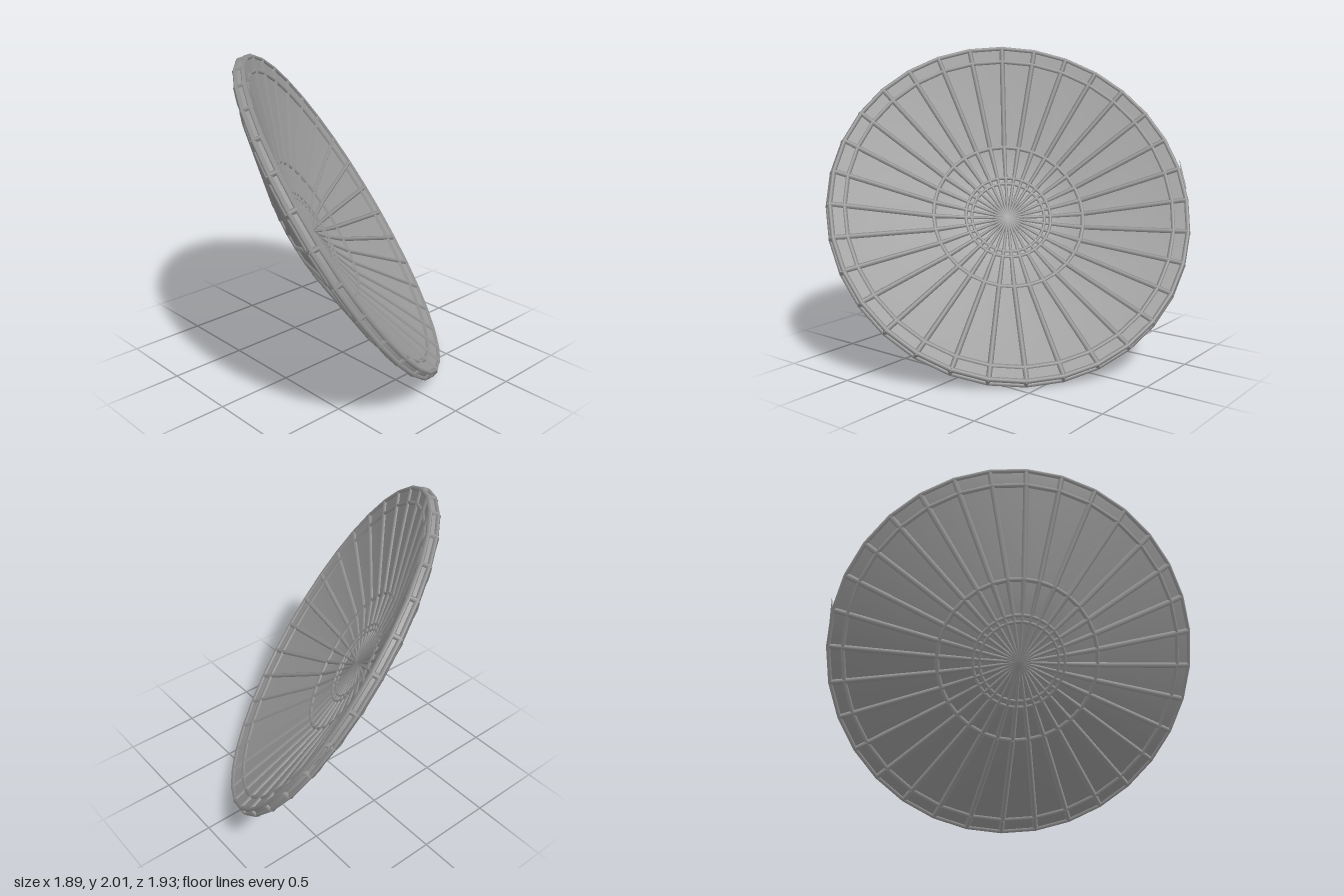
import * as THREE from 'three';
import { mergeGeometries } from 'three/addons/utils/BufferGeometryUtils.js';

const SIDES = 32;
const STEP = (Math.PI * 2) / SIDES;
const PHASE = -0.07 * STEP;

// Profiles from centre to lip: [radius, height along the dish axis, rib half-width]
const FRONT = [
  [0, -0.24, 0.009],
  [0.245, -0.229, 0.011],
  [0.285, -0.223, 0.012],
  [0.5, -0.189, 0.017],
  [1.065, 0, 0.018],
  [1.153, 0.03, 0.017],
];
const BACK = [
  [0, -0.308, 0.009],
  [0.245, -0.29, 0.011],
  [0.285, -0.284, 0.012],
  [0.5, -0.245, 0.017],
  [1.075, -0.054, 0.018],
  [1.166, -0.015, 0.017],
];
const LIP = [BACK[5], FRONT[5]];

// Diamond-section rib between two points, with one ridge facing the given way
function rib(a, b, ra, rb, facing) {
  const dir = b.clone().sub(a);
  const g = new THREE.CylinderGeometry(rb, ra, dir.length(), 4, 1);
  dir.normalize();
  const out = facing.clone().addScaledVector(dir, -facing.dot(dir)).normalize();
  const side = dir.clone().cross(out);
  g.applyMatrix4(new THREE.Matrix4().makeBasis(side, dir, out));
  const mid = a.clone().add(b).multiplyScalar(0.5);
  return g.translate(mid.x, mid.y, mid.z);
}

// Thin shell swept around the axis
function shell(profile) {
  const points = profile.map(([r, h]) => new THREE.Vector2(r, h));
  return new THREE.LatheGeometry(points, SIDES, PHASE);
}

// Hoops at every step of a profile except the centre
function hoops(profile) {
  return mergeGeometries(profile.slice(1).map(([r, h, w]) =>
    new THREE.TorusGeometry(r, Math.min(w, 0.015), 4, SIDES)
      .rotateX(Math.PI / 2).rotateY(PHASE).translate(0, h, 0)));
}

// Ribs that follow a profile, repeated around the axis
function radialRibs(profile) {
  const ribs = [];
  for (let s = 0; s < SIDES; s++) {
    const a = s * STEP + PHASE;
    const at = ([r, h]) => new THREE.Vector3(r * Math.sin(a), h, r * Math.cos(a));
    const facing = new THREE.Vector3(Math.sin(a) * 0.1, 1, Math.cos(a) * 0.1);
    for (let i = 0; i + 1 < profile.length; i++) {
      const [p, q] = [profile[i], profile[i + 1]];
      ribs.push(rib(at(p), at(q), p[2], q[2], facing));
    }
  }
  return mergeGeometries(ribs);
}

export function createModel() {
  const metal = new THREE.MeshStandardMaterial({ color: 0x999999, side: THREE.DoubleSide });
  metal.name = 'grey metal';

  const dish = new THREE.Group();
  dish.name = 'dish';
  const add = (parent, name, geometry) => {
    const mesh = new THREE.Mesh(geometry, metal);
    mesh.name = name;
    parent.add(mesh);
  };

  // Double-walled bowl closed by a narrow lip
  add(dish, 'frontShell', shell([...FRONT].reverse()));
  add(dish, 'backShell', shell(BACK));
  add(dish, 'lipWall', shell(LIP));

  // Rib lattice on both faces and across the lip
  add(dish, 'frontHoops', hoops(FRONT));
  add(dish, 'backHoops', hoops(BACK));
  add(dish, 'frontRibs', radialRibs(FRONT));
  add(dish, 'backRibs', radialRibs(BACK));
  add(dish, 'lipRibs', radialRibs(LIP));

  // Tilt the dish so that its axis points forward, up and to the side
  const axis = new THREE.Vector3(0.608, 0.536, 0.586).normalize();
  const right = new THREE.Vector3(0, 1, 0).cross(axis).normalize();
  const back = right.clone().cross(axis);
  dish.quaternion.setFromRotationMatrix(new THREE.Matrix4().makeBasis(right, axis, back));
  dish.position.y = 1;

  const model = new THREE.Group();
  model.name = 'tiltedDish';
  model.add(dish);

  // Two thin splinters sticking out at the lip
  const tips = [[0.7, 1.25, -0.94], [0.725, 1.2, -0.92]];
  const base = new THREE.Vector3(0.79, 1.07, -0.85);
  add(model, 'lipSplinters', mergeGeometries(tips.map((t) =>
    rib(base, new THREE.Vector3(...t), 0.012, 0.001, axis))));

  return model;
}
